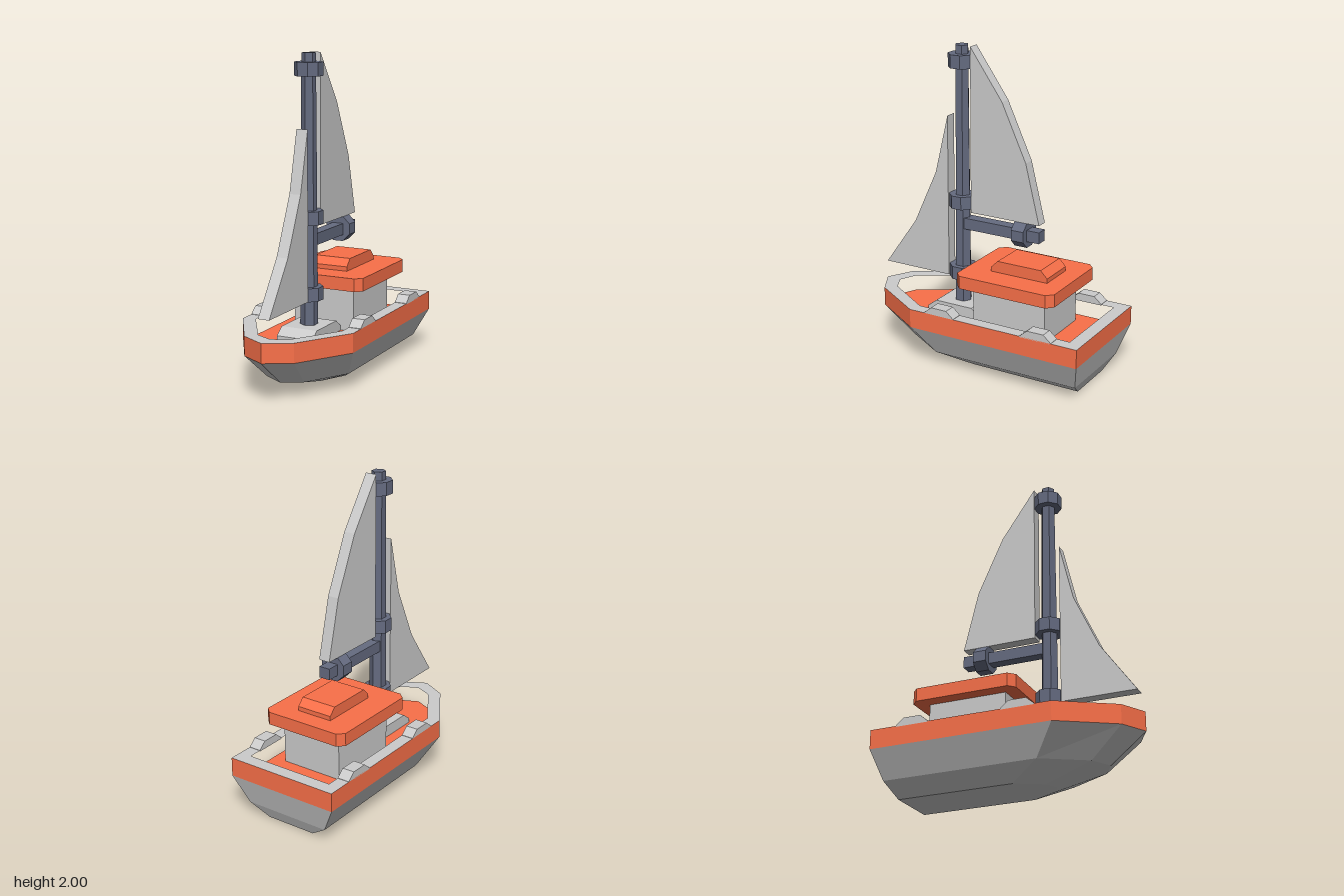
import * as THREE from 'three';

const mat = (color) => new THREE.MeshStandardMaterial({ color, flatShading: true });

export function createModel() {
  const boat = new THREE.Group();
  const grey = mat(0xcccccc), orange = mat(0xf97049), slate = mat(0x656b80);

  const add = (name, geometry, material, x = 0, y = 0, z = 0) => {
    const mesh = new THREE.Mesh(geometry, material);
    mesh.name = name;
    mesh.position.set(x, y, z);
    boat.add(mesh);
    return mesh;
  };
  const shapeOf = (pts) => new THREE.Shape(pts.map(([a, b]) => new THREE.Vector2(a, b)));

  // Side profile of [z, y] points, given a width across x
  const sideProfile = (pts, width) =>
    new THREE.ExtrudeGeometry(shapeOf(pts), { depth: width, bevelEnabled: false })
      .rotateY(-Math.PI / 2).translate(width / 2, 0, 0);

  // Plan outline of [x, z] points, standing between two heights
  const planSlab = (shape, y0, y1) =>
    new THREE.ExtrudeGeometry(shape, { depth: y1 - y0, bevelEnabled: false })
      .rotateX(Math.PI / 2).translate(0, y1, 0);

  // Block whose upper fore and aft edges are cut back
  const cutBlock = (z0, z1, y0, yCut, y1, cut, width) => sideProfile(
    [[z0, y0], [z1, y0], [z1, yCut], [z1 - cut, y1], [z0 + cut, y1], [z0, yCut]], width);

  // Half outline from bow to stern, mirrored into a closed loop
  const mirrorOutline = (half) => [
    ...half,
    ...half.filter(([x]) => x > 0).reverse().map(([x, z]) => [-x, z]),
  ];

  const rimOutline = mirrorOutline([[0, 0.79], [0.165, 0.7], [0.375, 0.36], [0.375, -0.8]]);
  const wellOutline = mirrorOutline([[0, 0.69], [0.105, 0.64], [0.295, 0.34], [0.295, -0.715]]);

  // Hull: three waterlines joined, then closed underneath
  const sections = [
    [0, mirrorOutline([[0, 0.24], [0.075, 0.2], [0.165, 0.03], [0.165, -0.71]])],
    [0.085, mirrorOutline([[0, 0.57], [0.125, 0.5], [0.285, 0.23], [0.285, -0.75]])],
    [0.26, rimOutline],
  ];
  const n = rimOutline.length;
  const positions = [], index = [];
  for (const [y, ring] of sections) for (const [x, z] of ring) positions.push(x, y, z);
  for (let s = 0; s < sections.length - 1; s++) {
    for (let i = 0; i < n; i++) {
      const a = s * n + i, b = s * n + (i + 1) % n;
      index.push(a, b, b + n, a, b + n, a + n);
    }
  }
  const keel = positions.length / 3;
  positions.push(0, 0, -0.3);
  for (let i = 0; i < n; i++) index.push(keel, (i + 1) % n, i);
  const hull = new THREE.BufferGeometry();
  hull.setAttribute('position', new THREE.Float32BufferAttribute(positions, 3));
  hull.setIndex(index);
  const hullFaces = hull.toNonIndexed();
  hullFaces.computeVertexNormals();
  add('hull', hullFaces, grey);

  // Bulwark: grey rail on top, coloured walls inside and out
  const rim = shapeOf(rimOutline);
  rim.holes.push(new THREE.Path(wellOutline.map(([x, z]) => new THREE.Vector2(x, z))));
  add('bulwark', planSlab(rim, 0.26, 0.38), [grey, orange]);
  add('deck', planSlab(shapeOf(wellOutline), 0.26, 0.28), orange);

  // Raised pads on the rail
  for (const side of [-1, 1]) {
    for (const z of [0.15, -0.525]) {
      add('railPad', cutBlock(-0.105, 0.105, 0.375, 0.382, 0.425, 0.05, 0.08),
        grey, side * 0.335, 0, z);
    }
  }

  // Cabin with chamfered roof and hatch
  add('cabin', new THREE.BoxGeometry(0.41, 0.29, 0.5), grey, 0, 0.415, -0.247);
  add('cabinRoof', planSlab(shapeOf([
    [-0.25, -0.585], [0.25, -0.585], [0.292, -0.545], [0.292, 0.05],
    [0.25, 0.09], [-0.25, 0.09], [-0.292, 0.05], [-0.292, -0.545],
  ]), 0.555, 0.637), orange);
  add('roofHatch', cutBlock(-0.465, -0.075, 0.63, 0.665, 0.71, 0.045, 0.24), orange);

  // Mast with its foot and collars
  add('mastFoot', cutBlock(0.01, 0.39, 0.275, 0.31, 0.355, 0.06, 0.24), grey);
  add('mast', new THREE.CylinderGeometry(0.043, 0.055, 1.67, 6), slate, 0, 1.165, 0.2);
  const collar = (height) =>
    new THREE.CylinderGeometry(0.0866, 0.0866, height, 8).rotateY(Math.PI / 8);
  for (const y of [0.55, 1.018, 1.905]) add('mastCollar', collar(0.083), slate, 0, y, 0.2);

  // Boom
  add('boom', new THREE.BoxGeometry(0.074, 0.072, 0.54), slate, 0, 0.877, -0.09);
  add('boomCollar', collar(0.085).rotateX(Math.PI / 2), slate, 0, 0.88, -0.233);

  // Sails
  add('mainSail', sideProfile(
    [[0.12, 0.957], [0.12, 2], [-0.1, 1.69], [-0.265, 1.335], [-0.36, 0.957]], 0.074), grey);
  add('foreSail', sideProfile(
    [[0.285, 0.512], [0.76, 0.512], [0.535, 0.83], [0.375, 1.18], [0.285, 1.555]], 0.074), grey);

  return boat;
}
